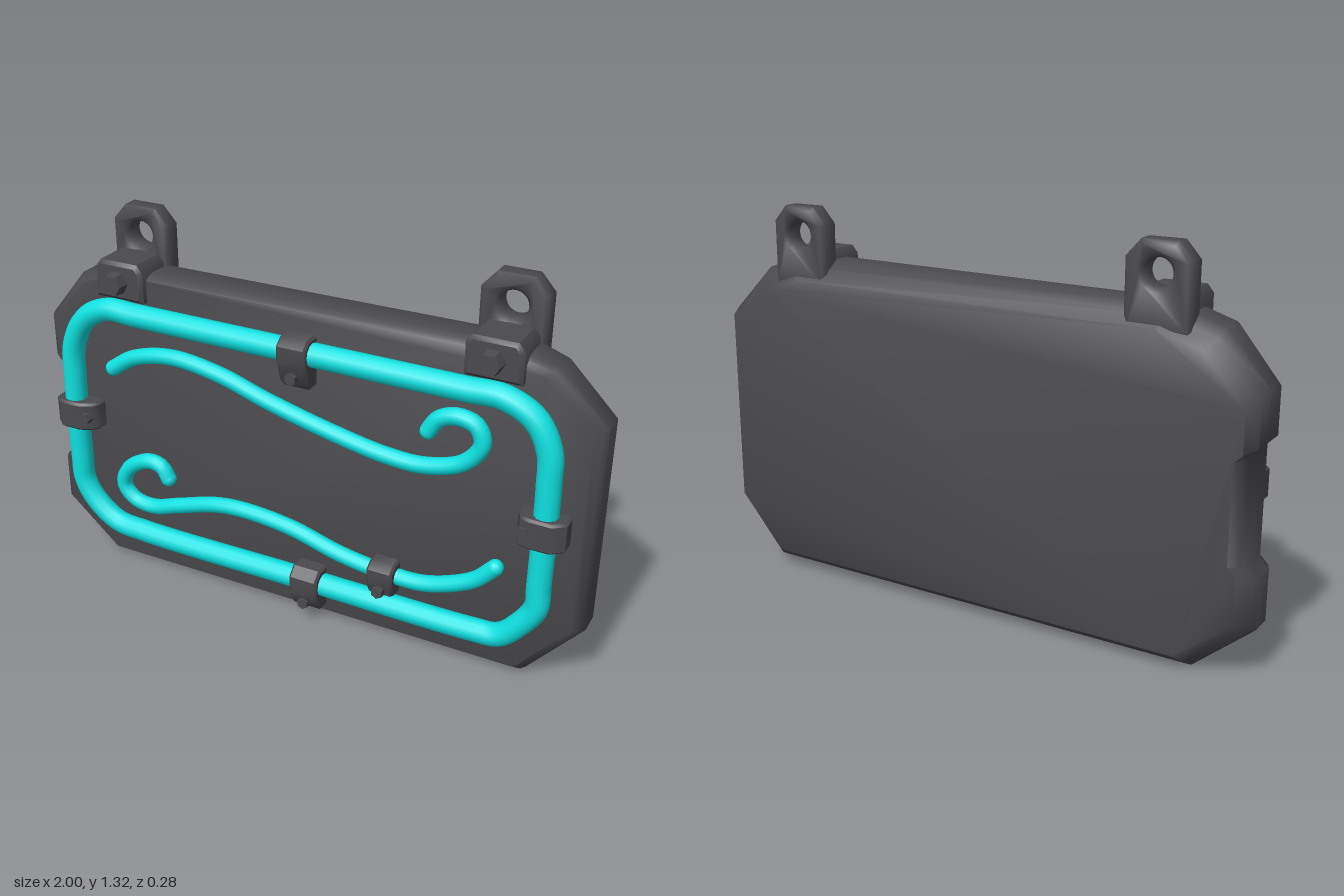
import * as THREE from 'three';
import { toCreasedNormals } from 'three/addons/utils/BufferGeometryUtils.js';

const darkMetal = new THREE.MeshStandardMaterial({ color: 0x4a494d });
darkMetal.name = 'dark metal';
const cyanTube = new THREE.MeshStandardMaterial({ color: 0x0fe0e0 });
cyanTube.name = 'cyan tube';

function add(parent, name, geometry, material, x = 0, y = 0, z = 0) {
  const mesh = new THREE.Mesh(geometry, material);
  mesh.name = name;
  mesh.position.set(x, y, z);
  parent.add(mesh);
  return mesh;
}

// Slab made of scaled copies of one outline, front to back
function boardGeometry() {
  const outline = [[-0.8, 0.01], [0.82, 0.02], [1, 0.23], [1, 0.94], [0.84, 1.1], [0.7, 1.15],
    [-0.7, 1.14], [-0.86, 1.09], [-1, 0.92], [-1, 0.77], [-0.97, 0.74], [-0.97, 0.38],
    [-1, 0.35], [-1, 0.18]];
  // z, x scale, y scale, y centre of the scaling
  const loops = [[0.053, 0.965, 0.97, 0.58], [0.035, 0.988, 0.99, 0.58], [0.01, 1, 1, 0.58],
    [-0.07, 1, 1, 0.58], [-0.11, 0.988, 0.955, 0.5], [-0.145, 0.955, 0.895, 0.5]];
  const n = outline.length;
  const pos = [], index = [];
  for (const [z, sx, sy, cy] of loops)
    for (const [x, y] of outline) pos.push(x * sx, cy + (y - cy) * sy, z);
  for (let l = 0; l < loops.length - 1; l++)
    for (let i = 0; i < n; i++) {
      const a = l * n + i, b = l * n + (i + 1) % n;
      index.push(a, a + n, b, b, a + n, b + n);
    }
  const last = (loops.length - 1) * n;
  for (const [a, b, c] of THREE.ShapeUtils.triangulateShape(outline.map(p => new THREE.Vector2(...p)), []))
    index.push(a, b, c, last + a, last + c, last + b);
  const g = new THREE.BufferGeometry();
  g.setAttribute('position', new THREE.Float32BufferAttribute(pos, 3));
  g.setIndex(index);
  return toCreasedNormals(g, 0.85);
}

// Round tube through flat points, with domed ends when open
function tube(parent, name, points, z, radius, closed = false) {
  const curve = new THREE.CatmullRomCurve3(points.map(([x, y]) => new THREE.Vector3(x, y, z)), closed);
  add(parent, name, new THREE.TubeGeometry(curve, closed ? 240 : 100, radius, 12, closed), cyanTube);
  if (!closed)
    for (const t of [0, 1]) {
      const p = curve.getPoint(t);
      add(parent, name + 'End', new THREE.SphereGeometry(radius, 12, 8), cyanTube, p.x, p.y, z);
    }
}

// Hexagonal bolt head facing +z
function bolt(parent, name, radius, length, x, y, z) {
  const g = new THREE.CylinderGeometry(radius * 0.85, radius, length, 6);
  g.rotateY(Math.PI / 6);
  g.rotateX(Math.PI / 2);
  add(parent, name, toCreasedNormals(g, 0.5), darkMetal, x, y, z);
}

// Strap arched over a tube, with a bolted foot pointing along the angle
function clip(parent, name, x, y, angle, foot, back, width, top) {
  const group = new THREE.Group();
  group.name = name;
  const b = 0.008;
  const shape = new THREE.Shape([[-back + b, 0.03], [foot - b, 0.03], [foot - b, 0.085],
    [foot * 0.8, 0.1], [back * 0.8, top - 0.016], [back * 0.45, top - b], [-back * 0.45, top - b],
    [-back + b, top - 0.035]].map(p => new THREE.Vector2(...p)));
  const g = new THREE.ExtrudeGeometry(shape, {
    depth: width - 2 * b, bevelThickness: b, bevelSize: b, bevelSegments: 1,
  });
  g.translate(0, 0, -width / 2 + b);
  g.rotateX(Math.PI / 2);
  add(group, 'strap', toCreasedNormals(g, 0.7), darkMetal);
  bolt(group, 'clipBolt', 0.024, 0.045, foot * 0.65, 0, 0.112);
  group.position.set(x, y, 0);
  group.rotation.z = angle;
  parent.add(group);
}

// Hanging lug with a hole, clamped to the board by a bolted block
function hanger(parent, name, x) {
  const group = new THREE.Group();
  group.name = name;
  const b = 0.014;
  const tab = new THREE.Shape([[-0.093, 1.07], [0.093, 1.07], [0.093, 1.27], [0.052, 1.316],
    [-0.052, 1.316], [-0.093, 1.27]].map(p => new THREE.Vector2(...p)));
  const hole = new THREE.Path();
  hole.absarc(0, 1.235, 0.045 + b, 0, Math.PI * 2, true);
  tab.holes.push(hole);
  const tg = new THREE.ExtrudeGeometry(tab, {
    depth: 0.08 - 2 * b, bevelThickness: b, bevelSize: b, bevelSegments: 1, curveSegments: 16,
  });
  add(group, 'lug', toCreasedNormals(tg, 0.9), darkMetal, 0, 0, -0.135 + b);

  const c = 0.012;
  const block = new THREE.Shape([[-0.08, 1.06], [0.08, 1.06], [0.08, 1.15], [0.065, 1.168],
    [-0.065, 1.168], [-0.08, 1.15]].map(p => new THREE.Vector2(...p)));
  const bg = new THREE.ExtrudeGeometry(block, {
    depth: 0.156, bevelThickness: c, bevelSize: c, bevelSegments: 1,
  });
  add(group, 'clampBlock', toCreasedNormals(bg, 0.7), darkMetal, 0, 0, 0.083 - c - 0.156);
  bolt(group, 'hangerBolt', 0.042, 0.05, 0, 1.113, 0.097);
  group.position.x = x;
  parent.add(group);
}

export function createModel() {
  const model = new THREE.Group();
  model.name = 'hangingSign';
  add(model, 'board', boardGeometry(), darkMetal);

  // Border tube and the two scrolls
  tube(model, 'borderTube', [[-0.72, 1.005], [-0.6, 1.005], [0, 1.005], [0.58, 1.005], [0.7, 1.005],
    [0.8, 0.955], [0.85, 0.86], [0.857, 0.75], [0.857, 0.4], [0.855, 0.31], [0.81, 0.235], [0.74, 0.168],
    [0.65, 0.158], [0, 0.155], [-0.62, 0.153], [-0.74, 0.165], [-0.83, 0.23], [-0.876, 0.31],
    [-0.88, 0.4], [-0.88, 0.72], [-0.872, 0.84], [-0.815, 0.95]].reverse(), 0.08, 0.04, true);
  tube(model, 'upperScroll', [[-0.714, 0.786], [-0.62, 0.845], [-0.47, 0.877], [-0.285, 0.855],
    [-0.1, 0.8], [0.14, 0.743], [0.33, 0.711], [0.46, 0.711], [0.585, 0.754], [0.64, 0.829],
    [0.618, 0.888], [0.553, 0.904], [0.495, 0.882], [0.463, 0.834]], 0.073, 0.028);
  tube(model, 'lowerScroll', [[-0.51, 0.4], [-0.535, 0.44], [-0.59, 0.45], [-0.676, 0.4],
    [-0.703, 0.33], [-0.66, 0.278], [-0.58, 0.267], [-0.473, 0.3], [-0.313, 0.348], [-0.2, 0.358],
    [-0.02, 0.342], [0.168, 0.294], [0.33, 0.273], [0.463, 0.273], [0.57, 0.305], [0.65, 0.348],
    [0.71, 0.41]], 0.073, 0.028);

  // Clips: x, y, foot direction, foot reach, back reach, width, height
  const down = -Math.PI / 2;
  clip(model, 'topClip', 0.013, 1.005, down, 0.12, 0.055, 0.105, 0.133);
  clip(model, 'bottomClip', 0.055, 0.155, down, 0.1, 0.062, 0.105, 0.133);
  clip(model, 'rightClip', -0.88, 0.588, 0, 0.1, 0.07, 0.105, 0.133);
  clip(model, 'leftClip', 0.857, 0.597, Math.PI, 0.083, 0.075, 0.105, 0.133);
  clip(model, 'scrollClip', 0.332, 0.273, down, 0.075, 0.05, 0.092, 0.122);

  hanger(model, 'rightHanger', -0.663);
  hanger(model, 'leftHanger', 0.657);
  return model;
}
